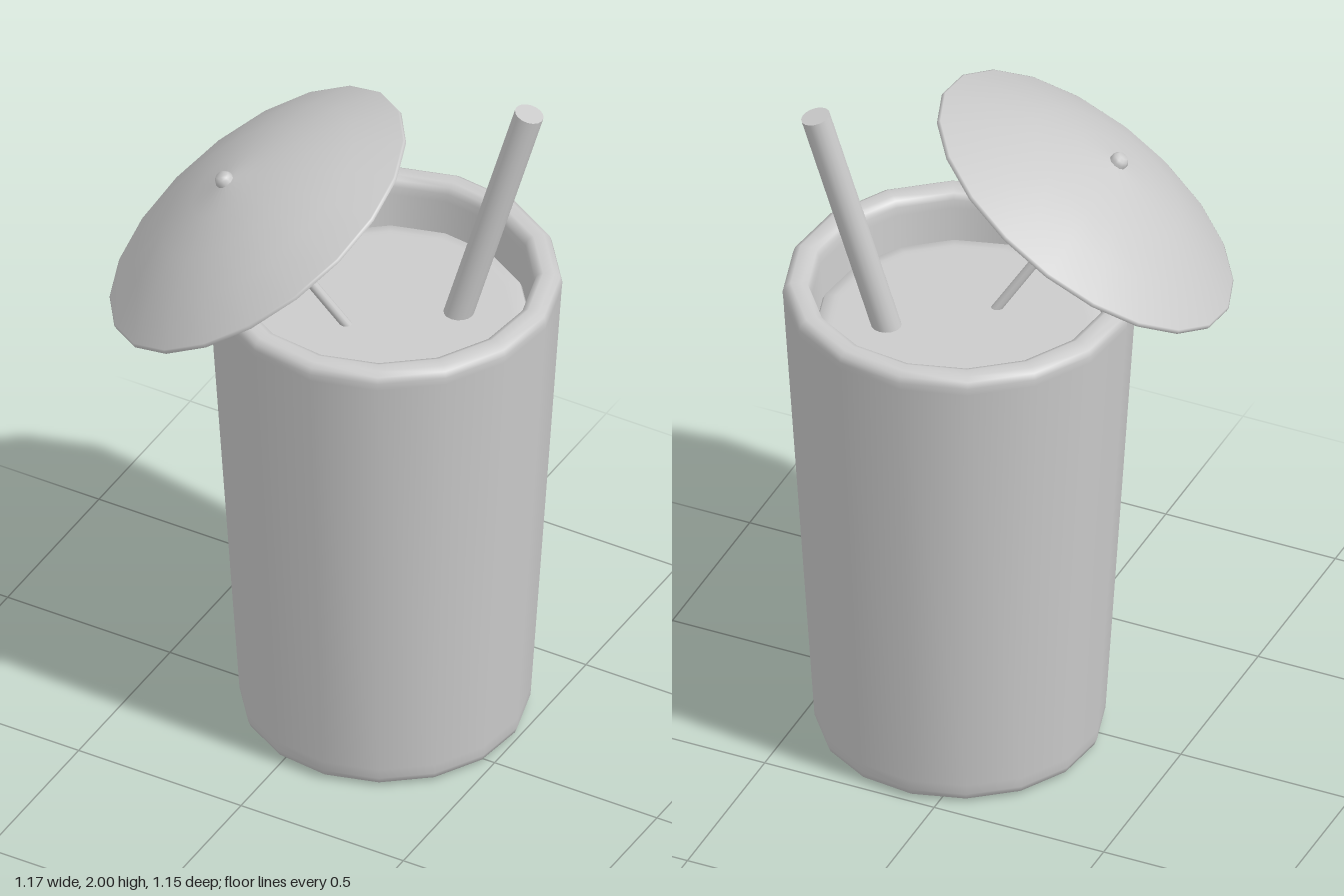
import * as THREE from 'three';

const material = new THREE.MeshStandardMaterial({ color: 0xcccccc });
const deg = THREE.MathUtils.degToRad;

// Smooth-shaded revolved part from [radius, height] pairs
function lathe(name, profile, sides, startDeg = 0) {
  const points = profile.map(([r, y]) => new THREE.Vector2(r, y));
  const mesh = new THREE.Mesh(new THREE.LatheGeometry(points, sides, deg(startDeg)), material);
  mesh.name = name;
  return mesh;
}

// Capped rod between two points
function rod(name, from, to, radius, sides) {
  const mesh = new THREE.Mesh(
    new THREE.CylinderGeometry(radius, radius, from.distanceTo(to), sides), material);
  mesh.position.copy(from).add(to).multiplyScalar(0.5);
  mesh.quaternion.setFromUnitVectors(
    new THREE.Vector3(0, 1, 0), to.clone().sub(from).normalize());
  mesh.name = name;
  return mesh;
}

export function createModel() {
  const model = new THREE.Group();
  model.name = 'drink';
  const cupX = 0.106, cupZ = -0.1, liquidY = 1.31;

  // Tapered cup: flat base, rounded foot, rolled rim, inner wall
  const cup = lathe('cup', [
    [0, 0], [0.355, 0], [0.37, 0.002], [0.384, 0.012], [0.391, 0.03], [0.393, 0.06],
    [0.475, 1.4], [0.477, 1.422], [0.471, 1.44], [0.455, 1.45],
    [0.425, 1.45], [0.409, 1.443], [0.402, 1.425], [0.4, 1.4], [0.39, 1.25],
  ], 16, 4.5);
  cup.position.set(cupX, 0, cupZ);
  model.add(cup);

  // Liquid surface
  const liquid = lathe('liquid', [
    [0.385, liquidY - 0.06], [0.392, liquidY - 0.02], [0.385, liquidY - 0.004],
    [0.355, liquidY], [0.34, liquidY], [0, liquidY],
  ], 16, 4.5);
  liquid.position.set(cupX, 0, cupZ);
  model.add(liquid);

  // Leaning straw
  model.add(rod('straw', new THREE.Vector3(0.265, 1.25, -0.188),
    new THREE.Vector3(0.455, 1.99, -0.27), 0.04, 16));

  // Tilted parasol, built upright around its own axis
  const parasol = new THREE.Group();
  parasol.name = 'parasol';
  parasol.position.set(-0.17, 1.652, 0.107);
  parasol.quaternion.setFromUnitVectors(
    new THREE.Vector3(0, 1, 0), new THREE.Vector3(-0.51, 0.822, 0.255).normalize());

  const dome = [[0, 0.155], [0.12, 0.139], [0.24, 0.11], [0.36, 0.066], [0.478, 0.005]];
  const underside = dome.map(([r, y]) => [r, y - 0.013]);
  parasol.add(lathe('canopy',
    [...underside, [0.482, -0.006], [0.482, 0.003], ...dome.reverse()], 20, 9));

  // Stick and the small knob above the canopy
  parasol.add(rod('stick', new THREE.Vector3(0, -0.46, 0),
    new THREE.Vector3(0, 0.15, 0), 0.014, 10));
  parasol.add(lathe('knob', [
    [0.024, 0.14], [0.026, 0.16], [0.022, 0.17], [0.014, 0.178], [0, 0.178],
  ], 10));
  model.add(parasol);

  return model;
}
